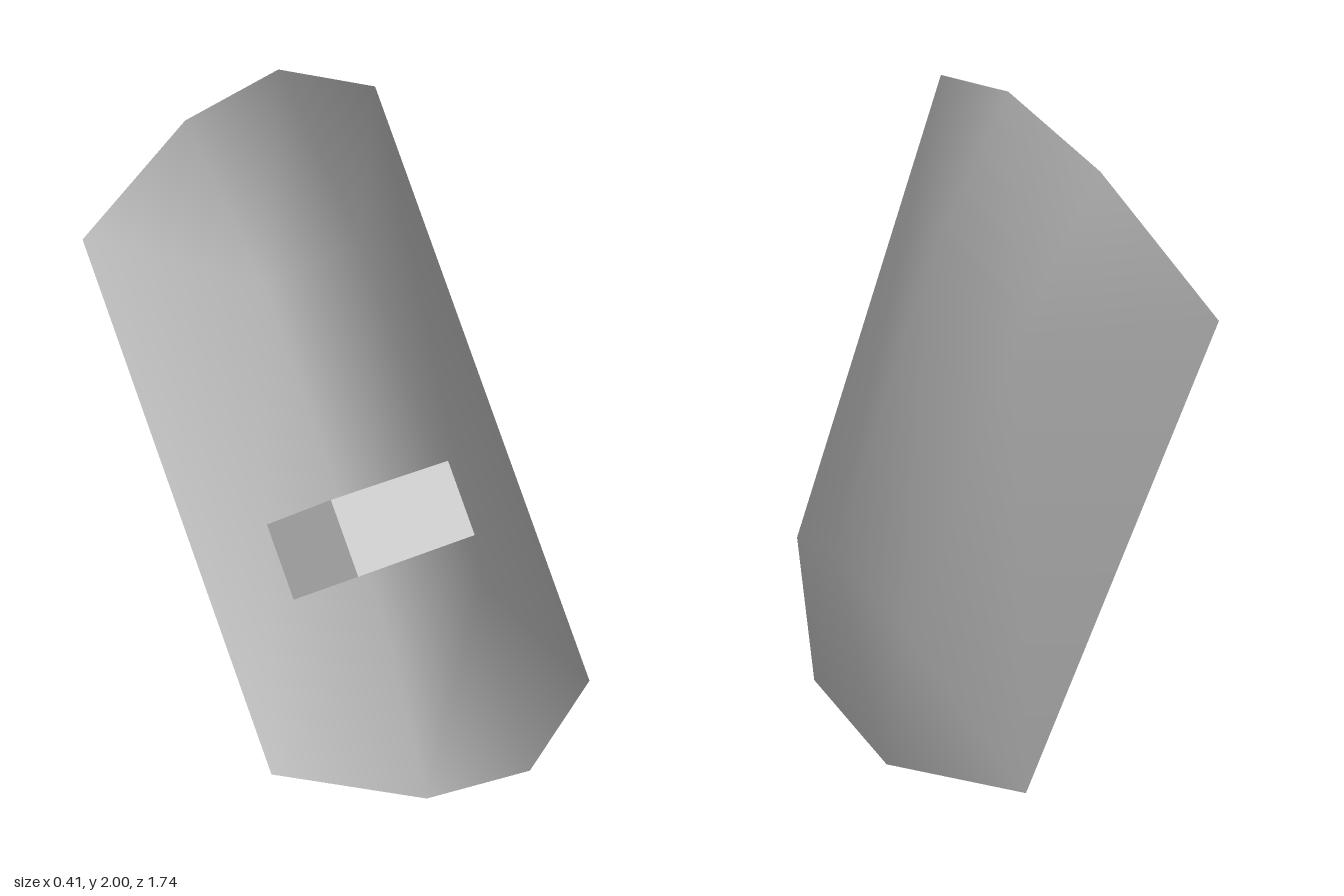
import * as THREE from 'three';

// Indexed surface from corner points and polygon loops (fan triangulated)
function surface(points, faces) {
  const index = [];
  for (const f of faces)
    for (let i = 1; i < f.length - 1; i++) index.push(f[0], f[i], f[i + 1]);
  const geo = new THREE.BufferGeometry();
  geo.setAttribute('position', new THREE.Float32BufferAttribute(points.flat(), 3));
  geo.setIndex(index);
  return geo;
}

export function createModel() {
  const grey = new THREE.MeshStandardMaterial({ color: 0xcccccc, side: THREE.DoubleSide });
  grey.name = 'lightGrey';

  // Half of the shield: outer edge, tips and raised ridge, mirrored across z
  const points = [];
  for (const s of [-1, 1])
    points.push(
      [-0.03, 0.816, s * 0.58], [-0.03, -0.816, s * 0.58],
      [0.117, 1.016, s * 0.188], [0.117, -1.016, s * 0.188],
      [0.205, 0.5, s * 0.188], [0.205, -0.5, s * 0.188]
    );
  const faces = [
    [5, 4, 10, 11],                                     // middle
    [4, 2, 8, 10], [3, 5, 11, 9],                       // sloping ends
    [1, 0, 4, 5], [11, 10, 6, 7],                       // sloping sides
    [4, 0, 2], [5, 3, 1], [10, 8, 6], [11, 7, 9]        // corners
  ];
  const shieldGeo = surface(points, faces);
  shieldGeo.computeVertexNormals();
  const shield = new THREE.Mesh(shieldGeo, grey);
  shield.name = 'shieldPanel';

  // Strap handle: a thin band bent into a U on the hollow side
  const profile = [[0.175, -0.238], [-0.21, -0.12], [-0.21, 0.12], [0.175, 0.238]];
  const band = profile.flatMap(([x, z]) => [[x, -0.367, z], [x, -0.152, z]]);
  const bandFaces = [0, 2, 4].map(i => [i, i + 2, i + 3, i + 1]);
  const handleGeo = surface(band, bandFaces).toNonIndexed();
  handleGeo.computeVertexNormals();
  const handle = new THREE.Mesh(handleGeo, grey);
  handle.name = 'handle';

  // The whole shield leans over sideways
  const tilted = new THREE.Group();
  tilted.name = 'shield';
  tilted.add(shield, handle);
  tilted.rotation.x = -0.438;
  tilted.position.y = 1;

  const model = new THREE.Group();
  model.add(tilted);
  return model;
}
